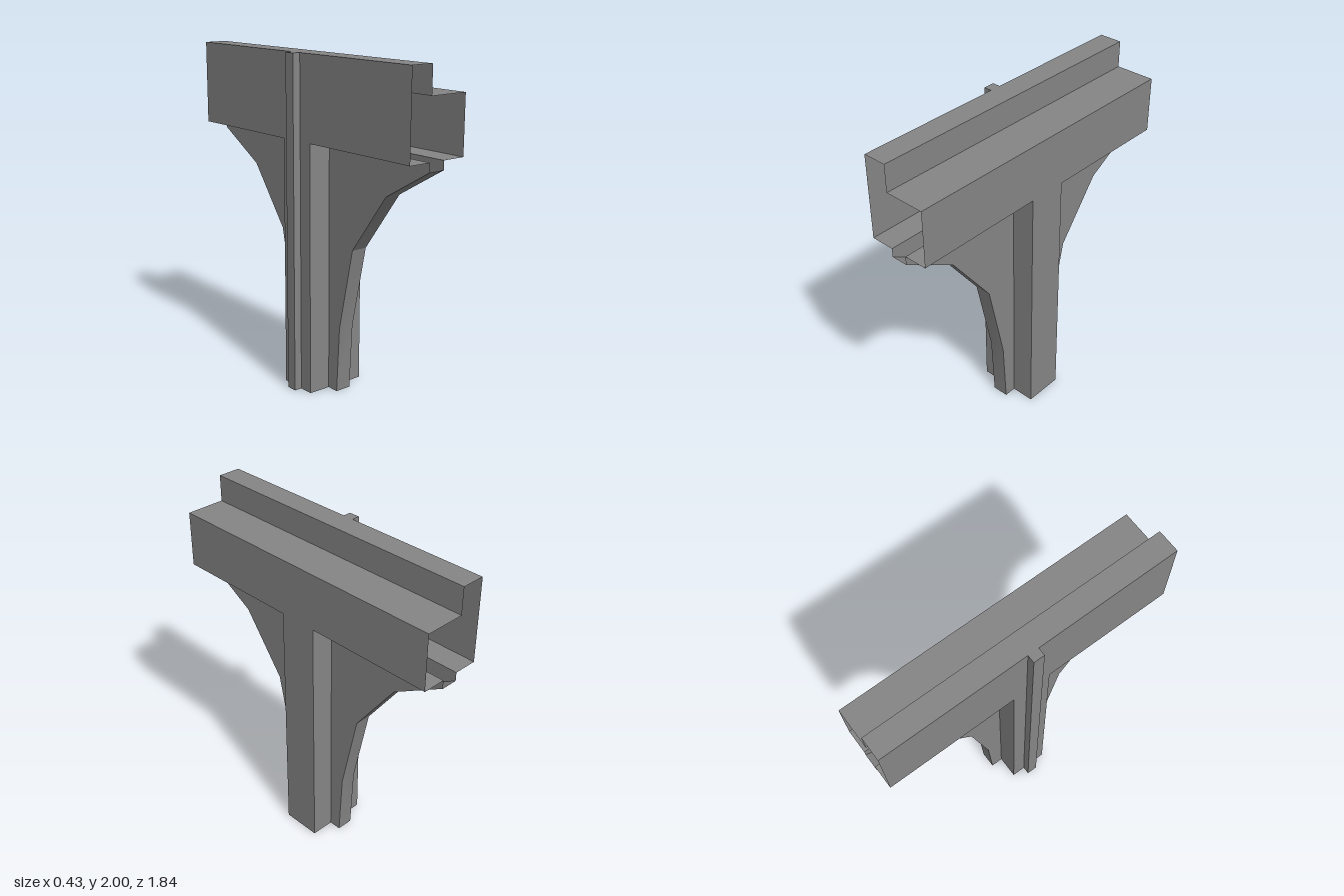
import * as THREE from 'three';

const color = 0x858585;
const flat = new THREE.MeshStandardMaterial({ color, flatShading: true, side: THREE.DoubleSide });
const smooth = new THREE.MeshStandardMaterial({ color, side: THREE.DoubleSide });

// Main dimensions
const LEFT = 0.215, RIGHT = -0.167;      // outer side walls
const WEB_L = 0.073, WEB_R = -0.027;     // central bracket walls
const HALF = 0.92, COL = 0.12;           // beam half length, column half depth
const FLOOR = 1.503, LEDGE = 1.84, TOP = 2;

// Thin sheet: a polyline of [x, y, z] points swept along an offset
function sweep(points, [dx, dy, dz]) {
  const pos = [], index = [];
  points.forEach(([x, y, z], i) => {
    pos.push(x, y, z, x + dx, y + dy, z + dz);
    const a = 2 * i;
    if (i < points.length - 1) index.push(a, a + 2, a + 3, a, a + 3, a + 1);
  });
  const g = new THREE.BufferGeometry();
  g.setAttribute('position', new THREE.Float32BufferAttribute(pos, 3));
  g.setIndex(index);
  g.computeVertexNormals();
  return g;
}

export function createModel() {
  const model = new THREE.Group();
  const add = (name, geometry, parent = model, material = flat) => {
    const mesh = new THREE.Mesh(geometry, material);
    mesh.name = name;
    parent.add(mesh);
    return mesh;
  };

  // Stepped hollow beam, open at both ends
  const section = [[RIGHT, FLOOR], [RIGHT, TOP], [WEB_R, TOP], [WEB_R, LEDGE], [LEFT, LEDGE], [LEFT, FLOOR]];
  add('beamShell', sweep(section.map(([x, y]) => [x, y, -HALF]), [0, 0, 2 * HALF]));

  // Hollow column: a channel on each side of the bracket
  for (const [name, outer, inner] of [['columnLeft', LEFT, WEB_L], ['columnRight', RIGHT, WEB_R]]) {
    const plan = [[inner, COL], [outer, COL], [outer, -COL], [inner, -COL]];
    add(name, sweep(plan.map(([x, z]) => [x, 0, z]), [0, FLOOR, 0]));
  }

  // Flared bracket and beam floor, the same at front and back
  const flare = [[0.195, 0], [0.218, 0.402], [0.328, 0.905], [0.597, 1.266], [HALF, 1.452]];
  const cheek = new THREE.Shape(
    [[COL, 0], ...flare, [HALF, FLOOR], [COL, FLOOR]].map(([z, y]) => new THREE.Vector2(z, y)));
  for (const s of [1, -1]) {
    const arm = new THREE.Group();
    arm.name = s > 0 ? 'frontBracket' : 'backBracket';
    model.add(arm);
    // Underside in two softly shaded runs with a sharp edge between them
    for (const [name, run] of [['bracketStem', flare.slice(0, 3)], ['bracketFlare', flare.slice(2)]]) {
      add(name, sweep(run.map(([z, y]) => [WEB_R, y, s * z]), [WEB_L - WEB_R, 0, 0]), arm, smooth);
    }
    for (const [outer, inner] of [[LEFT, WEB_L], [RIGHT, WEB_R]]) {
      const side = add('bracketCheek', new THREE.ShapeGeometry(cheek).rotateY(-s * Math.PI / 2), arm);
      side.position.x = inner;
      add('beamFloor', sweep([[inner, FLOOR, s * COL], [outer, FLOOR, s * COL]], [0, 0, s * (HALF - COL)]), arm);
    }
  }

  // Slim pipe up the right side, capped on top
  const px = -0.215, z0 = -0.035, z1 = 0.032;
  const pipe = [[RIGHT, 0, z1], [px, 0, z1], [px, 0, z0], [RIGHT, 0, z0]];
  add('pipe', sweep(pipe, [0, TOP, 0]));
  add('pipeCap', sweep([[px, TOP, z1], [RIGHT, TOP, z1]], [0, 0, z0 - z1]));

  return model;
}
